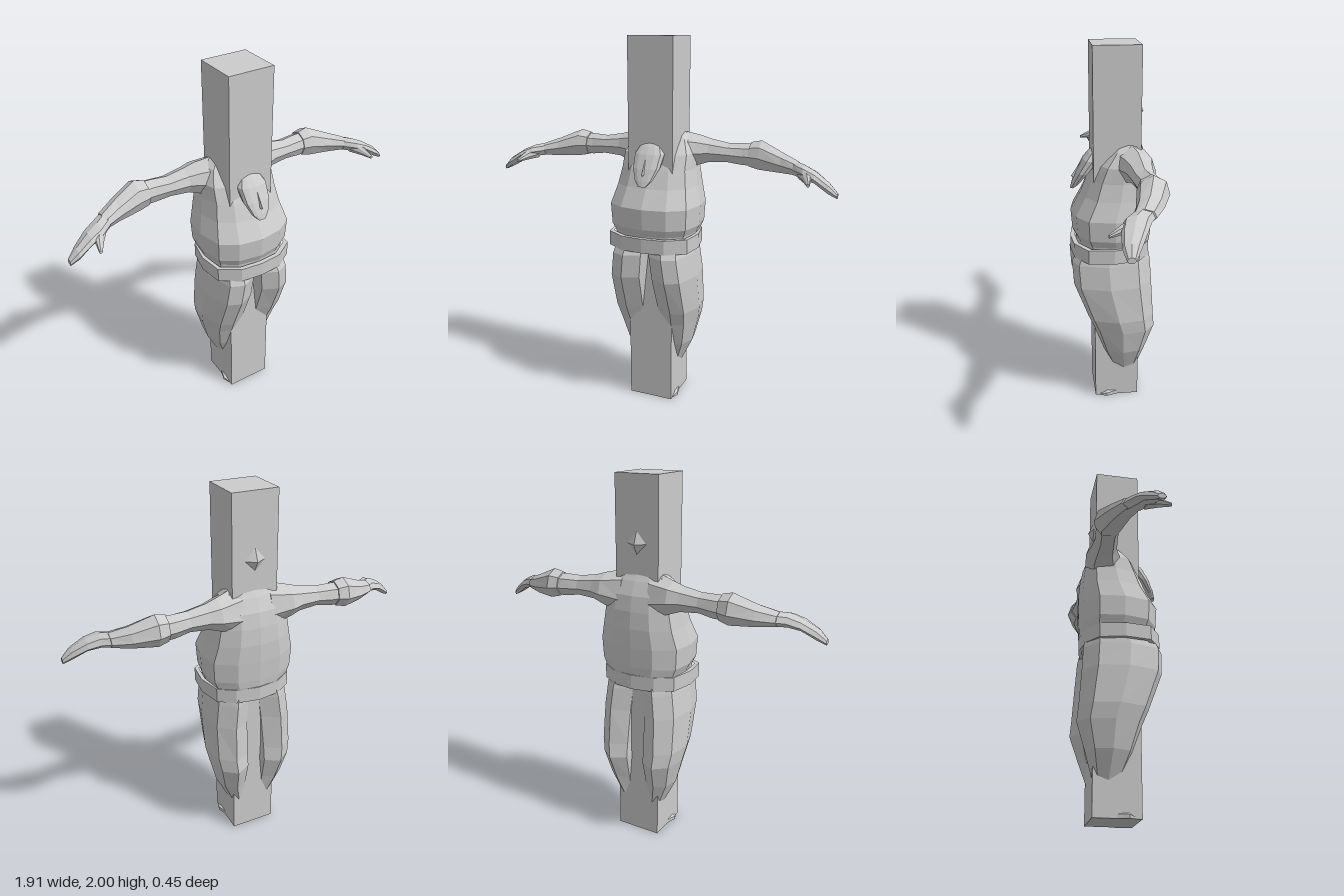
import * as THREE from 'three';

const material = new THREE.MeshStandardMaterial({ color: 0xcccccc, flatShading: true });

// Unit cross-sections, both axes running from -1 to 1
const BODY = [[0, 1], [0.52, 0.9], [0.88, 0.62], [1, 0], [0.93, -0.62], [0.5, -0.94],
  [0, -1], [-0.5, -0.94], [-0.93, -0.62], [-1, 0], [-0.88, 0.62], [-0.52, 0.9]];
const LEG = [[0, 1], [0.62, 0.84], [1, 0.1], [0.8, -0.65], [0.1, -1], [-0.7, -0.72], [-1, 0], [-0.75, 0.8]];
const ARM = [[0, 1], [0.75, 0.6], [1, -0.1], [0.65, -0.9], [-0.5, -1], [-1, -0.25], [-0.75, 0.6]];

// Fit a cross-section to a box: a runs over the first range, b over the second
const fit = (poly, a0, a1, b0, b1, place) => poly.map(([u, v]) =>
  place((a0 + a1) / 2 + u * (a1 - a0) / 2, (b0 + b1) / 2 + v * (b1 - b0) / 2));

// Skin a list of rings, cap both ends and turn the faces outwards
function loft(name, rings) {
  const n = rings[0].length;
  const pts = rings.flat();
  const tris = [];
  for (let r = 0; r < rings.length - 1; r++) {
    for (let i = 0; i < n; i++) {
      const a = r * n + i, b = r * n + (i + 1) % n;
      tris.push([a, b, b + n], [a, b + n, a + n]);
    }
  }
  const end = (rings.length - 1) * n;
  for (let i = 1; i < n - 1; i++) tris.push([0, i + 1, i], [end, end + i, end + i + 1]);
  const v = pts.map(p => new THREE.Vector3(...p));
  const origin = v[0];
  let volume = 0;
  for (const [a, b, c] of tris) {
    const p = v[a].clone().sub(origin), q = v[b].clone().sub(origin), w = v[c].clone().sub(origin);
    volume += p.dot(q.cross(w));
  }
  if (volume < 0) tris.forEach(t => t.reverse());
  const geometry = new THREE.BufferGeometry().setFromPoints(v);
  geometry.setIndex(tris.flat());
  geometry.computeVertexNormals();
  return named(name, geometry);
}

function named(name, geometry) {
  const mesh = new THREE.Mesh(geometry, material);
  mesh.name = name;
  return mesh;
}

// Rows are [y, x0, x1, z0, z1]; s mirrors the part
const upright = (name, poly, rows, s = 1) => loft(name, rows.map(([y, x0, x1, z0, z1]) =>
  fit(poly, x0, x1, z0, z1, (x, z) => [s * x, y, z])));

// Rows are [x, y0, y1, z0, z1]; s mirrors the part
const sideways = (name, rows, s) => loft(name, rows.map(([x, y0, y1, z0, z1]) =>
  fit(ARM, z0, z1, y0, y1, (z, y) => [s * x, y, z])));

function buildBelt() {
  const ring = (Type, hx, z0, z1) => new Type(
    fit(BODY, -hx, hx, -z1, -z0, (x, y) => new THREE.Vector2(x, y)));
  const shape = ring(THREE.Shape, 0.242, -0.207, 0.225);
  shape.holes.push(ring(THREE.Path, 0.222, -0.187, 0.2));
  const geometry = new THREE.ExtrudeGeometry(shape, { depth: 0.078, bevelEnabled: false });
  geometry.rotateX(-Math.PI / 2).translate(0, 0.897, 0);
  return named('belt', geometry);
}

function buildArm(s) {
  const arm = new THREE.Group();
  arm.name = s > 0 ? 'leftArm' : 'rightArm';
  arm.add(
    sideways('upperArm', [
      [0.08, 1.28, 1.515, -0.19, 0.03],
      [0.2, 1.325, 1.488, -0.205, -0.02],
      [0.26, 1.345, 1.47, -0.19, -0.045],
      [0.36, 1.352, 1.452, -0.18, -0.06],
      [0.44, 1.34, 1.455, -0.19, -0.07],
      [0.55, 1.34, 1.455, -0.2, -0.07],
    ], s),
    sideways('forearm', [
      [0.475, 1.335, 1.463, -0.2, -0.065],
      [0.53, 1.322, 1.475, -0.213, -0.055],
      [0.65, 1.322, 1.425, -0.165, -0.035],
      [0.74, 1.325, 1.393, -0.115, -0.005],
    ], s),
    sideways('hand', [
      [0.72, 1.325, 1.395, -0.12, -0.01],
      [0.78, 1.32, 1.385, -0.085, 0.04],
      [0.84, 1.305, 1.36, -0.06, 0.055],
      [0.91, 1.262, 1.315, -0.022, 0.06],
      [0.955, 1.24, 1.268, 0.005, 0.045],
    ], s),
    // Thumb runs forwards from the palm
    loft('thumb', [[0.77, 1.345, -0.01, 0.03], [0.805, 1.33, 0.05, 0.022], [0.825, 1.31, 0.105, 0.008]]
      .map(([x, y, z, r]) => fit(ARM, x - r, x + r, y - r, y + r, (a, b) => [s * a, b, z]))),
  );
  return arm;
}

function buildLeg(s) {
  const leg = new THREE.Group();
  leg.name = s > 0 ? 'leftLeg' : 'rightLeg';
  leg.add(
    upright('trouserLeg', LEG, [
      [0.93, -0.01, 0.212, -0.185, 0.195],
      [0.87, -0.005, 0.225, -0.197, 0.225],
      [0.74, 0.008, 0.242, -0.205, 0.217],
      [0.54, 0.018, 0.243, -0.218, 0.142],
      [0.46, 0.02, 0.228, -0.226, 0.108],
      [0.32, 0.03, 0.193, -0.18, 0.06],
      [0.18, 0.04, 0.125, -0.135, 0],
      [0.02, 0.05, 0.12, -0.11, 0.02],
    ], s),
    // Only the outer edge of the foot shows beside the post
    loft('foot', [[-0.06, 0.06, 0.115, 0.035], [0.01, 0.05, 0.132, 0.035], [0.04, 0.05, 0.142, 0.03],
      [0.08, 0.06, 0.127, 0.012]].map(([z, x0, x1, h]) =>
      [[s * x0, 0, z], [s * x1, 0, z], [s * x1, h * 0.6, z], [s * (x1 - 0.02), h, z], [s * x0, h, z]])),
  );
  return leg;
}

export function createModel() {
  const model = new THREE.Group();
  model.name = 'figureOnPost';

  const post = named('post', new THREE.BoxGeometry(0.25, 2, 0.245));
  post.position.set(0, 1, -0.0175);

  // Small pointed stud on the back of the post
  const stud = loft('stud', [1, 0.01].map(k =>
    [[0, 1.735], [0.065, 1.66], [0, 1.595], [-0.065, 1.66]].map(([x, y]) =>
      [x * k, 1.655 + (y - 1.655) * k, k === 1 ? -0.135 : -0.167])));

  const torso = upright('torso', BODY, [
    [0.92, -0.215, 0.215, -0.185, 0.19],
    [0.98, -0.222, 0.222, -0.203, 0.195],
    [1.02, -0.24, 0.24, -0.207, 0.213],
    [1.13, -0.246, 0.246, -0.213, 0.221],
    [1.23, -0.22, 0.22, -0.215, 0.165],
    [1.32, -0.203, 0.203, -0.208, 0.13],
    [1.4, -0.2, 0.2, -0.193, 0.09],
    [1.47, -0.165, 0.165, -0.16, 0.02],
    [1.51, -0.12, 0.12, -0.135, -0.02],
  ]);

  // Face leaning out of the post, chin forwards
  const head = upright('head', BODY, [
    [1.252, -0.022, 0.022, 0.2, 0.22],
    [1.28, -0.048, 0.048, 0.17, 0.212],
    [1.34, -0.074, 0.074, 0.12, 0.188],
    [1.41, -0.081, 0.081, 0.06, 0.152],
    [1.445, -0.062, 0.062, 0.05, 0.123],
    [1.462, -0.035, 0.035, 0.05, 0.105],
  ]);
  const nose = upright('nose', [[0, 1], [1, -1], [-1, -1]], [
    [1.385, -0.01, 0.01, 0.14, 0.167],
    [1.315, -0.02, 0.02, 0.165, 0.214],
    [1.3, -0.016, 0.016, 0.17, 0.2],
  ]);

  model.add(post, stud, torso, buildBelt(), head, nose);
  for (const s of [1, -1]) model.add(buildArm(s), buildLeg(s));
  return model;
}
